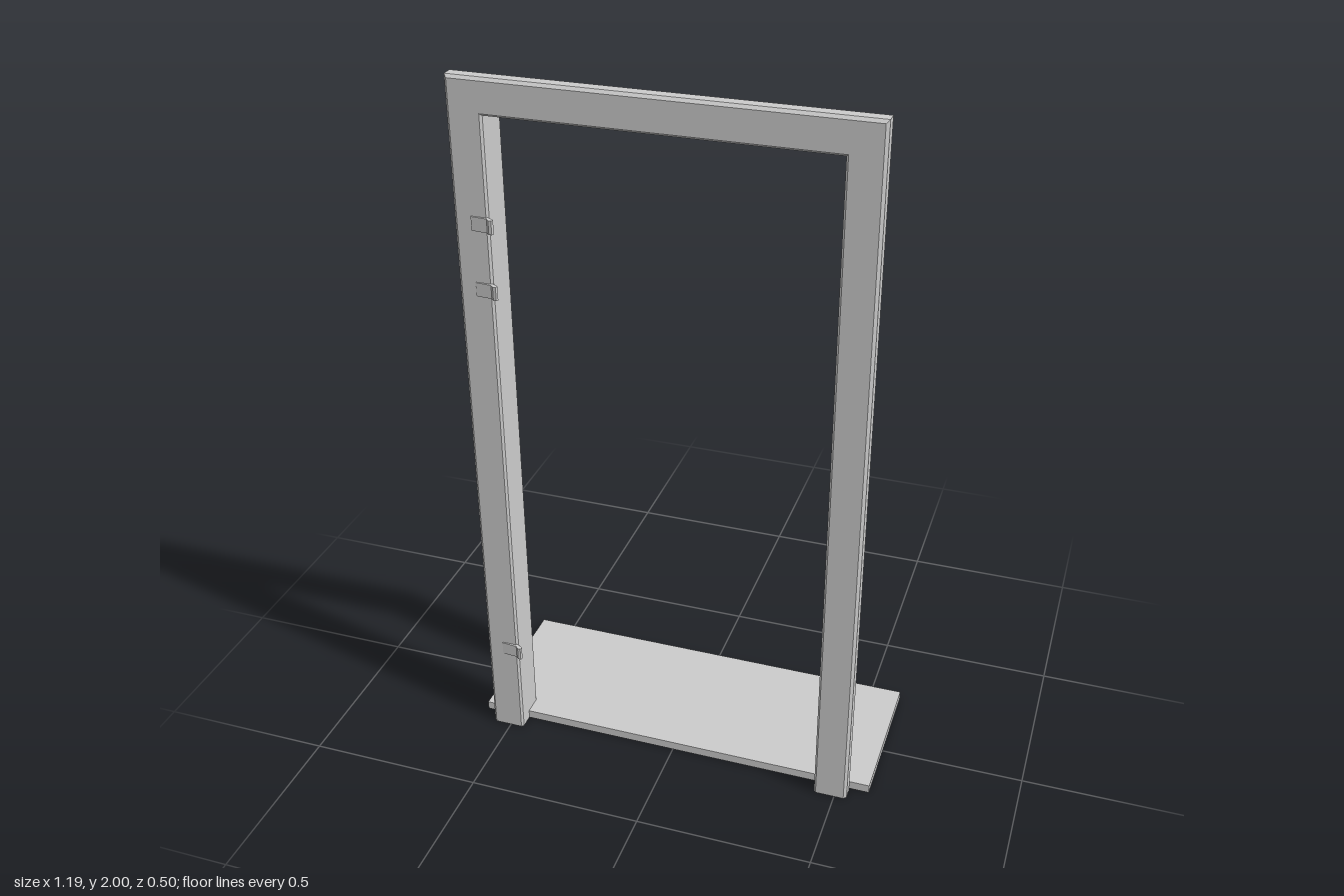
import * as THREE from 'three';

const HALF = 0.45, TOP = 1.905, CENTRE = -0.01;

// Sweeps a section (outward offset, z) up, across and down the opening with mitred corners
function sweepFrame(section) {
  const rows = section.map(([o, z]) => [
    [HALF + o, 0, z], [HALF + o, TOP + o, z], [-HALF - o, TOP + o, z], [-HALF - o, 0, z],
  ]);
  const pos = [];
  const tri = (a, b, c) => pos.push(...a, ...b, ...c);
  rows.forEach((p, i) => {
    const q = rows[(i + 1) % rows.length];
    for (let k = 0; k < 3; k++) {
      tri(p[k], q[k + 1], q[k]);
      tri(p[k], p[k + 1], q[k + 1]);
    }
  });
  // Feet of the two posts
  const contour = section.map(([o, z]) => new THREE.Vector2(o, z));
  for (const [a, b, c] of THREE.ShapeUtils.triangulateShape(contour, [])) {
    tri(rows[a][0], rows[b][0], rows[c][0]);
    tri(rows[a][3], rows[c][3], rows[b][3]);
  }
  const geo = new THREE.BufferGeometry();
  geo.setAttribute('position', new THREE.Float32BufferAttribute(pos, 3));
  geo.computeVertexNormals();
  return geo;
}

export function createModel() {
  const group = new THREE.Group();
  const grey = new THREE.MeshStandardMaterial({ color: 0xcccccc, flatShading: true });
  const greyOpen = grey.clone();
  greyOpen.side = THREE.DoubleSide;

  const add = (name, geo, x, y, z, mat = grey) => {
    const mesh = new THREE.Mesh(geo, mat);
    mesh.name = name;
    mesh.position.set(x, y, z);
    group.add(mesh);
  };

  // Door frame: narrow jamb behind a wider front casing, edges chamfered
  add('doorFrame', sweepFrame([
    [0.008, 0.122], [0.047, 0.122], [0.055, 0.13], [0.055, 0.193],
    [0.095, 0.193], [0.095, 0.224], [0.087, 0.232], [0.006, 0.232],
    [0, 0.226], [0, 0.13],
  ]), CENTRE, 0, 0);

  // Floor plate, hollow underneath
  const plate = new THREE.BoxGeometry(1.186, 0.025, 0.437);
  const index = Array.from(plate.index.array);
  index.splice(18, 6); // leave out the bottom face
  plate.setIndex(index);
  plate.clearGroups();
  add('floorPlate', plate, -0.002, 0.0125, -0.033, greyOpen);

  // Lock strike plates with a curled lip, on the front of the right post
  const lip = new THREE.Shape([
    [-0.507, -0.229], [-0.507, -0.235], [-0.462, -0.239], [-0.454, -0.247],
    [-0.446, -0.247], [-0.443, -0.241], [-0.447, -0.236], [-0.462, -0.229],
  ].map(([x, z]) => new THREE.Vector2(x, z)).reverse());
  const strike = new THREE.ExtrudeGeometry(lip, { depth: 0.038, bevelEnabled: false });
  strike.rotateX(-Math.PI / 2);
  [0.27, 1.423, 1.604].forEach((y, i) => add(`strikePlate${i + 1}`, strike, 0, y, 0));

  return group;
}
